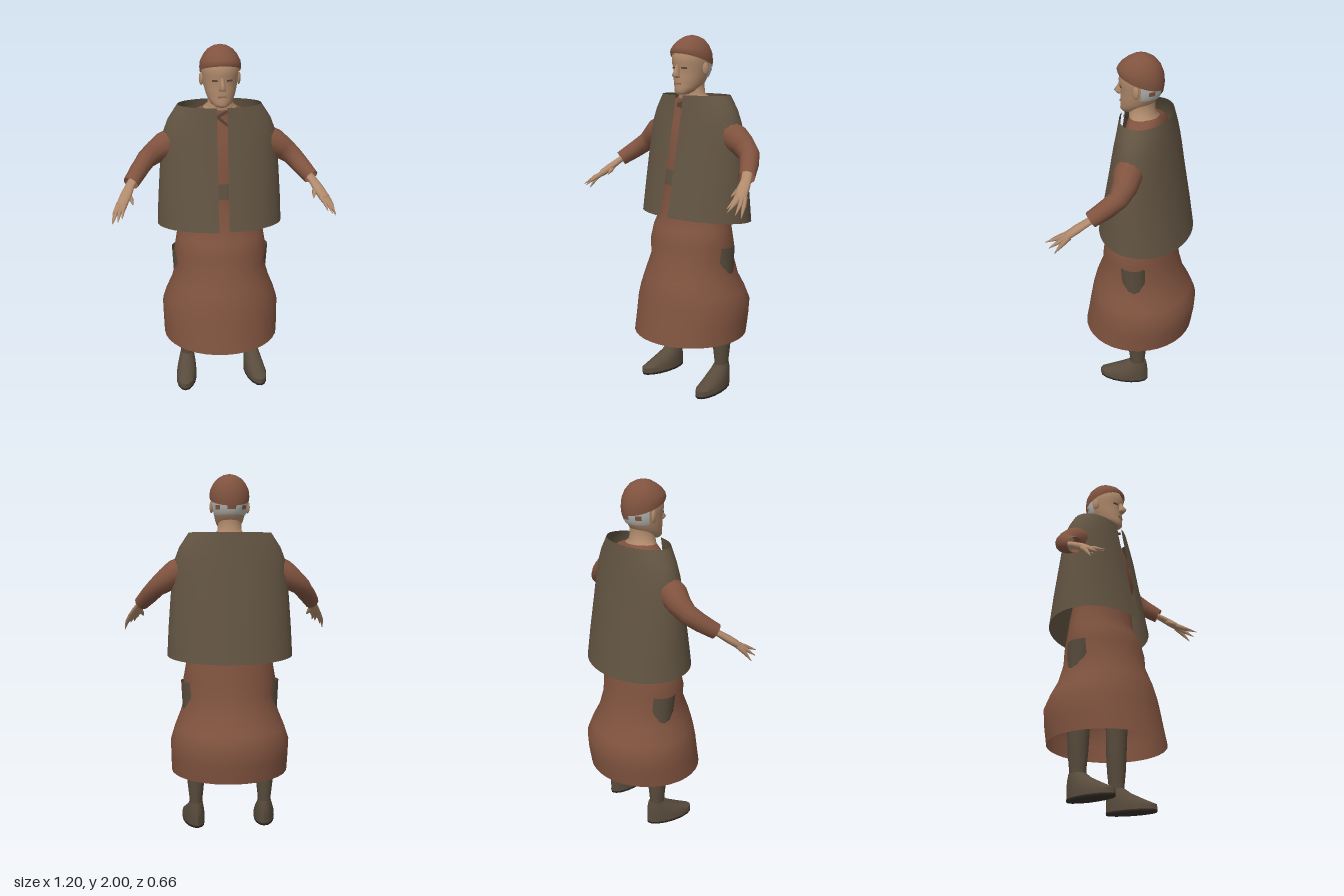
import * as THREE from 'three';
import { toCreasedNormals } from 'three/addons/utils/BufferGeometryUtils.js';

const material = (name, color, side = THREE.DoubleSide) => {
  const m = new THREE.MeshStandardMaterial({ color, side });
  m.name = name;
  return m;
};

// Skin a grid of points: at(row, t) gives the point at fraction t around a row
function surface(rowCount, n, closed, at) {
  const pos = [], index = [], cols = closed ? n : n + 1;
  for (let i = 0; i < rowCount; i++)
    for (let j = 0; j < cols; j++) pos.push(...at(i, j / n).toArray());
  for (let i = 0; i < rowCount - 1; i++) {
    for (let j = 0; j < n; j++) {
      const a = i * cols + j, b = i * cols + ((j + 1) % cols);
      index.push(a, b, a + cols, b, b + cols, a + cols);
    }
  }
  const g = new THREE.BufferGeometry();
  g.setAttribute('position', new THREE.Float32BufferAttribute(pos, 3));
  g.setIndex(index);
  g.computeVertexNormals();
  return g;
}

// Stacked oval rows [y, half width, z front, z back, tilt]; the angle starts at the front
function stack(rows, n = 28, range = null) {
  return surface(rows.length, n, !range, (i, t) => {
    const [y, rx, front, back, tilt = 0] = rows[i];
    const [a, b] = range ? range(rows[i]) : [0, Math.PI * 2];
    const f = a + (b - a) * t;
    return new THREE.Vector3(
      rx * Math.sin(f), y + tilt * Math.cos(f),
      (front + back) / 2 + ((front - back) / 2) * Math.cos(f));
  });
}

// Tapered limb through points [x, y, z, radius], mirrored by s
function limb(points, s, n = 10, flat = 1) {
  const c = points.map(p => new THREE.Vector3(p[0] * s, p[1], p[2]));
  const frames = c.map((p, i) => {
    const t = c[Math.min(i + 1, c.length - 1)].clone().sub(c[Math.max(i - 1, 0)]).normalize();
    const u = new THREE.Vector3(0, 1, 0).cross(t).normalize();
    return [u, t.clone().cross(u)];
  });
  return surface(c.length, n, true, (i, t) => {
    const r = points[i][3], f = t * Math.PI * 2;
    return c[i].clone()
      .addScaledVector(frames[i][0], r * Math.cos(f))
      .addScaledVector(frames[i][1], r * flat * Math.sin(f));
  });
}

export function createModel() {
  const brown = material('brown cloth', 0x80533f);
  const drab = material('drab cape cloth', 0x625442);
  const boot = material('boot leather', 0x584b3c);
  const sole = material('dark sole', 0x38302a);
  const skin = material('skin', 0xb08a6c);
  const hairGrey = material('grey hair', 0xb4b5b0);
  const dark = material('dark features', 0x5a4436);
  const lip = material('lips', 0x96684f);

  const model = new THREE.Group();
  const add = (name, geometry, mat, parent = model) => {
    const m = new THREE.Mesh(geometry, mat);
    m.name = name;
    parent.add(m);
    return m;
  };

  // Long robe, hollow at the hem and closing in at the collar
  add('robe', stack([
    [0.32, 0.335, 0.33, -0.31], [0.42, 0.338, 0.31, -0.325], [0.51, 0.34, 0.293, -0.33],
    [0.58, 0.318, 0.28, -0.3], [0.66, 0.285, 0.258, -0.255], [0.77, 0.253, 0.215, -0.225],
    [0.85, 0.266, 0.207, -0.213], [0.94, 0.25, 0.185, -0.2], [1.02, 0.23, 0.14, -0.19],
    [1.2, 0.215, 0.125, -0.15], [1.4, 0.24, 0.115, -0.15], [1.53, 0.27, 0.085, -0.14],
    [1.6, 0.235, 0.06, -0.13], [1.645, 0.15, 0.06, -0.12], [1.67, 0.085, 0.055, -0.1],
  ], 36), brown);
  add('belt', stack([[1.18, 0.222, 0.134, -0.158], [1.27, 0.228, 0.132, -0.158]], 36), drab);

  // Chest wrap edges
  for (const [y, turn] of [[1.6, -0.7], [1.645, 0.5]]) {
    const fold = add('collarFold', new THREE.BoxGeometry(0.11, 0.014, 0.009), dark);
    fold.position.set(0.01, y, 0.07);
    fold.rotation.z = turn;
  }

  // Open-fronted cape
  const slit = r => {
    const a = Math.asin(0.028 / r[1]);
    return [a, Math.PI * 2 - a];
  };
  add('cape', stack([
    [0.998, 0.355, 0.22, -0.295, 0.023], [1.15, 0.347, 0.192, -0.268, 0.01],
    [1.32, 0.334, 0.16, -0.235], [1.45, 0.322, 0.135, -0.212], [1.53, 0.31, 0.12, -0.197],
    [1.6, 0.283, 0.107, -0.184], [1.65, 0.25, 0.1, -0.175], [1.68, 0.23, 0.096, -0.17],
  ], 40, slit), drab);

  // Arms, legs and feet
  for (const s of [1, -1]) {
    const side = s > 0 ? 'left' : 'right';
    add(side + 'Sleeve', limb([
      [0.22, 1.5, -0.03, 0.07], [0.3, 1.455, -0.03, 0.078], [0.355, 1.42, -0.033, 0.066],
      [0.41, 1.378, -0.02, 0.054], [0.45, 1.335, 0.03, 0.05], [0.495, 1.285, 0.1, 0.043],
    ], s, 12), brown);

    const hand = new THREE.Group();
    hand.name = side + 'Hand';
    model.add(hand);
    add('palm', limb([
      [0.46, 1.32, 0.05, 0.028], [0.5, 1.275, 0.11, 0.028], [0.525, 1.235, 0.165, 0.034],
      [0.545, 1.205, 0.205, 0.032], [0.555, 1.19, 0.225, 0.01],
    ], s, 10, 0.6), skin, hand);
    const tips = [[0.6, 1.115, 0.262], [0.592, 1.135, 0.295], [0.567, 1.15, 0.325], [0.545, 1.16, 0.305]];
    tips.forEach(([x, y, z], i) => add('finger', limb([
      [0.563 - i * 0.012, 1.205, 0.19 + i * 0.007, 0.014],
      [(0.563 - i * 0.012 + x) / 2 + 0.004, (1.205 + y) / 2 + 0.005, (0.19 + z) / 2, 0.012],
      [x, y, z, 0.002],
    ], s, 6), skin, hand));
    add('thumb', limb([
      [0.515, 1.25, 0.14, 0.016], [0.497, 1.222, 0.18, 0.013], [0.488, 1.2, 0.212, 0.002],
    ], s, 6), skin, hand);

    const leg = new THREE.Group();
    leg.name = side + 'Leg';
    leg.position.x = s * 0.2;
    model.add(leg);
    add('stocking', stack([
      [0.1, 0.036, 0, -0.09], [0.16, 0.038, 0, -0.092], [0.24, 0.047, 0.008, -0.1],
      [0.34, 0.058, 0.012, -0.103], [0.5, 0.062, 0.02, -0.105], [0.85, 0.08, 0.06, -0.11],
    ], 14), boot, leg);

    const foot = new THREE.Group();
    foot.name = side + 'Foot';
    foot.position.z = -0.045;
    foot.rotation.y = s * 0.13;
    leg.add(foot);
    const shoe = stack([
      [0.012, 0.06, 0.232, -0.064], [0.04, 0.06, 0.23, -0.064], [0.07, 0.055, 0.165, -0.064],
      [0.11, 0.046, 0.085, -0.06], [0.138, 0.039, 0.048, -0.054], [0.138, 0, 0, 0],
    ], 16);
    add('shoe', toCreasedNormals(shoe, 0.7), boot, foot);
    add('sole', stack([[0, 0, 0.05, 0.05], [0, 0.06, 0.23, -0.064], [0.013, 0.061, 0.232, -0.065]], 16), sole, foot);
  }

  // Head and neck
  const head = new THREE.Group();
  head.name = 'head';
  model.add(head);
  add('neck', stack([
    [1.63, 0.13, 0.055, -0.115], [1.665, 0.095, 0.058, -0.098], [1.69, 0.069, 0.062, -0.08],
    [1.74, 0.064, 0.06, -0.077], [1.8, 0.07, 0.05, -0.08],
  ], 20), skin, head);
  add('skull', stack([
    [1.682, 0, 0.075, 0.075], [1.684, 0.03, 0.102, 0.03], [1.7, 0.055, 0.11, -0.01],
    [1.722, 0.068, 0.106, -0.045], [1.745, 0.078, 0.107, -0.075], [1.78, 0.087, 0.107, -0.097],
    [1.825, 0.094, 0.104, -0.11], [1.85, 0.098, 0.114, -0.114], [1.89, 0.099, 0.112, -0.114],
    [1.94, 0.085, 0.093, -0.1], [1.975, 0.045, 0.05, -0.06], [1.985, 0, 0, 0],
  ], 28), skin, head);
  add('nose', stack([
    [1.771, 0, 0.11, 0.1], [1.775, 0.019, 0.129, 0.09], [1.787, 0.018, 0.147, 0.09],
    [1.81, 0.012, 0.131, 0.09], [1.842, 0.009, 0.115, 0.09],
  ], 8), skin, head);
  add('mouth', new THREE.BoxGeometry(0.046, 0.009, 0.008), lip, head).position.set(0, 1.741, 0.105);
  for (const s of [1, -1]) {
    const eye = add('eye', new THREE.BoxGeometry(0.03, 0.009, 0.008), dark, head);
    eye.position.set(s * 0.038, 1.825, 0.0955);
    eye.rotation.y = s * 0.4;
    const ear = add('ear', new THREE.SphereGeometry(1, 10, 8), skin, head);
    ear.scale.set(0.01, 0.034, 0.02);
    ear.position.set(s * 0.101, 1.82, -0.008);
    ear.rotation.y = s * -0.35;
  }

  // Hair around the back with a few gaps showing through
  const arc = (a, b) => () => [a * Math.PI, b * Math.PI];
  add('hair', stack([
    [1.775, 0.089, 0.1, -0.1], [1.795, 0.097, 0.105, -0.112],
    [1.83, 0.102, 0.108, -0.12], [1.87, 0.104, 0.11, -0.119],
  ], 20, arc(0.58, 1.42)), hairGrey, head);
  for (const [a, b] of [[0.7, 0.8], [0.93, 1.08], [1.2, 1.3]])
    add('hairGap', stack([[1.803, 0.102, 0.108, -0.118], [1.826, 0.1035, 0.109, -0.122]], 6, arc(a, b)), brown, head);

  // Round cap, lifted over the brow
  add('cap', stack([
    [1.862, 0.109, 0.119, -0.122, 0.04], [1.885, 0.111, 0.123, -0.126, 0.03],
    [1.915, 0.107, 0.117, -0.121, 0.015], [1.948, 0.09, 0.097, -0.104, 0.006],
    [1.975, 0.066, 0.068, -0.076], [1.992, 0.036, 0.036, -0.042], [2, 0, -0.003, -0.003],
  ], 28), brown, head);

  return model;
}
